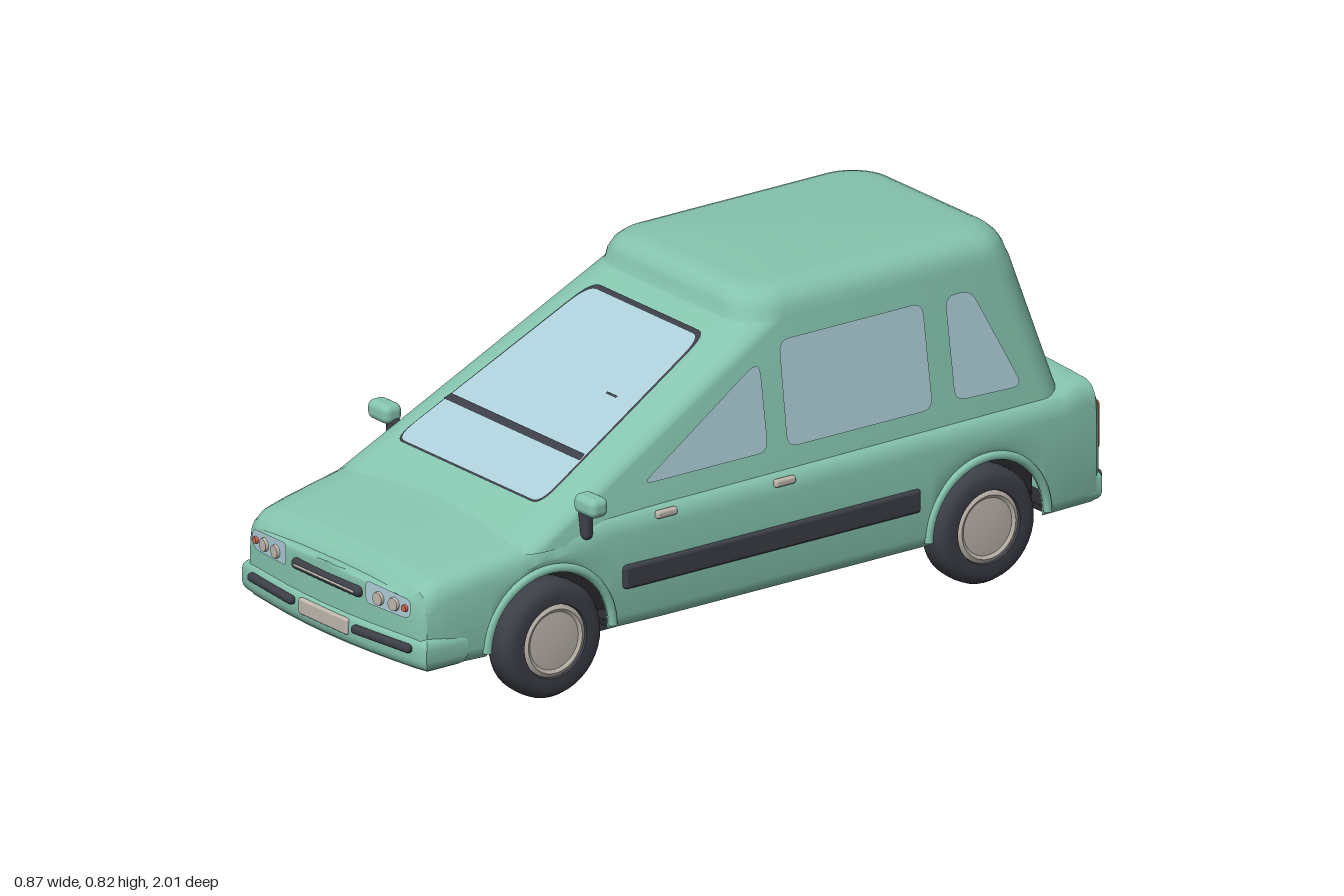
import * as THREE from 'three';
import { toCreasedNormals } from 'three/addons/utils/BufferGeometryUtils.js';
import { RoundedBoxGeometry } from 'three/addons/geometries/RoundedBoxGeometry.js';

const mat = (name, color, side = THREE.FrontSide) => {
  const m = new THREE.MeshStandardMaterial({ color, side });
  m.name = name;
  return m;
};

// Piecewise linear lookup in a list of [key, value]
function lookup(table, k) {
  if (k <= table[0][0]) return table[0][1];
  for (let i = 1; i < table.length; i++) {
    const [a, va] = table[i - 1], [b, vb] = table[i];
    if (k <= b) return va + (vb - va) * (k - a) / (b - a);
  }
  return table[table.length - 1][1];
}

// Skin through rows of equal length
function skin(rows, crease) {
  const n = rows[0].length, index = [];
  for (let i = 0; i < rows.length - 1; i++)
    for (let j = 0; j < n - 1; j++) {
      const a = i * n + j, b = a + n;
      index.push(a, a + 1, b, a + 1, b + 1, b);
    }
  const g = new THREE.BufferGeometry();
  g.setAttribute('position', new THREE.Float32BufferAttribute(rows.flat(2), 3));
  g.setIndex(index);
  return toCreasedNormals(g, crease);
}

// Polygon with rounded corners, laid on a surface by map(a, b) -> [x, y, z]
function panel(points, r, map) {
  const pts = points.map(p => new THREE.Vector2(...p)), shape = new THREE.Shape();
  pts.forEach((p, i) => {
    const prev = pts.at(i - 1), next = pts[(i + 1) % pts.length];
    const toward = q => p.clone().add(q.clone().sub(p).setLength(Math.min(r, p.distanceTo(q) * 0.45)));
    const a = toward(prev), b = toward(next);
    i ? shape.lineTo(a.x, a.y) : shape.moveTo(a.x, a.y);
    shape.quadraticCurveTo(p.x, p.y, b.x, b.y);
  });
  const g = new THREE.ShapeGeometry(shape, 6), pos = g.attributes.position;
  for (let i = 0; i < pos.count; i++) pos.setXYZ(i, ...map(pos.getX(i), pos.getY(i)));
  g.computeVertexNormals();
  return g;
}

// Bowed bar across the car, rounded on all edges
function bowedBar(s, zEnd, bow, hx, y0, y1, depth, r) {
  const shape = new THREE.Shape();
  for (let i = -8; i <= 8; i++) {
    const x = hx * i / 8, z = s * (zEnd - bow * x * x);
    i === -8 ? shape.moveTo(x, -z) : shape.lineTo(x, -z);
  }
  shape.lineTo(hx, -s * (zEnd - depth));
  shape.lineTo(-hx, -s * (zEnd - depth));
  const g = new THREE.ExtrudeGeometry(shape, { depth: y1 - y0 - 2 * r, bevelThickness: r, bevelSize: r, bevelOffset: -r, bevelSegments: 4 });
  g.rotateX(-Math.PI / 2).translate(0, y0 + r, 0);
  return toCreasedNormals(g, 0.7);
}

const WHEEL_Z = [0.618, -0.634], AXLE_Y = 0.143, ARCH_R = 0.165;
const TOP = [[-0.965, 0.405], [-0.95, 0.428], [-0.9, 0.433], [-0.86, 0.42], [0.45, 0.412], [0.6, 0.395], [0.7, 0.375],
  [0.85, 0.352], [0.92, 0.338], [0.95, 0.32], [0.96, 0.3]];
const WIDTH = [[-0.965, 0.368], [-0.95, 0.38], [-0.8, 0.386], [0.3, 0.386], [0.5, 0.378], [0.7, 0.364], [0.9, 0.345],
  [0.95, 0.336], [0.96, 0.325]];
const halfWidth = z => lookup(WIDTH, z);

// Slopes of the cabin faces by height
const sideX = y => 0.362 - (y - 0.4) * 0.16;
const frontZ = y => 0.57 - (y - 0.44) / 0.54;
const backZ = y => -0.905 + (y - 0.36) * 0.273;

function sill(z) {
  let b = 0.13;
  for (const c of WHEEL_Z) {
    const d = ARCH_R ** 2 - (z - c) ** 2;
    if (d >= 0) b = AXLE_Y + Math.sqrt(d);
  }
  return b;
}

function lowerBody() {
  const zs = [...TOP, ...WIDTH].map(p => p[0]);
  for (const c of WHEEL_Z) {
    for (let i = 0; i <= 24; i++) zs.push(c + 0.99999 * ARCH_R * Math.cos(Math.PI * i / 24));
    zs.push(c - ARCH_R - 0.001, c + ARCH_R + 0.001);
  }
  const stations = [...new Set(zs)].sort((a, b) => a - b);
  const section = (z, f = 1, zOut = z) => {
    const b = sill(z), t = lookup(TOP, z), w = halfWidth(z);
    const half = [[0.96, b], [0.99, b + 0.012], [1, b + 0.03], [1, (b + 0.03 + t - 0.055) / 2], [0.998, t - 0.055],
      [0.985, t - 0.033], [0.955, t - 0.014], [0.9, t - 0.004], [0.75, t], [0.4, t + 0.006], [0, t + 0.008]];
    const left = half.map(([k, y]) => [k * w * f, y, zOut]);
    return [...left, ...left.slice(0, -1).reverse().map(([x, y, q]) => [-x, y, q])];
  };
  const rows = stations.map(z => section(z));
  rows.unshift(section(-0.965, 0));
  for (const f of [0.75, 0.5, 0.25, 0]) rows.push(section(0.96, f, 0.985 - 0.25 * (f * 0.325) ** 2));
  return skin(rows, 0.6);
}

function cabin() {
  const ring = (y, zf, zb, hx, r, f = 1) => {
    const out = [], mid = (zf + zb) / 2;
    [[1, zf, 0], [-1, zf, 1], [-1, zb, 2], [1, zb, 3]].forEach(([sx, z, q]) => {
      for (let i = 0; i <= 8; i++) {
        const a = (q + i / 8) * Math.PI / 2;
        const px = sx * (hx - r) + r * Math.cos(a), pz = z - Math.sign(z - mid) * r + r * Math.sin(a);
        out.push([px * f, y, mid + (pz - mid) * f]);
      }
    });
    return [...out, out[0]];
  };
  const rows = [0.36, 0.44, 0.6, 0.7, 0.745].map(y => ring(y, frontZ(y), backZ(y), sideX(y), 0.08 + (y - 0.36) * 0.04));
  // Raised roof
  rows.push(ring(0.752, 0, -0.797, 0.306, 0.1), ring(0.775, -0.003, -0.79, 0.301, 0.1), ring(0.795, -0.012, -0.78, 0.291, 0.1),
    ring(0.81, -0.027, -0.765, 0.274, 0.095), ring(0.819, -0.048, -0.745, 0.25, 0.09),
    ring(0.822, -0.075, -0.72, 0.225, 0.085), ring(0.824, -0.075, -0.72, 0.225, 0.085, 0));
  return skin(rows, 0.6);
}

export function createModel() {
  const car = new THREE.Group();
  car.name = 'car';
  const paint = mat('green paint', 0x85c4ae, THREE.DoubleSide);
  const dark = mat('dark rubber', 0x3d3f48, THREE.DoubleSide);
  const glass = mat('pale glass', 0xaccdd8, THREE.DoubleSide);
  const beige = mat('beige metal', 0xc0b8ae);
  const red = mat('red lamp', 0xd0654f);
  const purple = mat('purple lamp', 0x9384bb);
  const floor = mat('black floor', 0x2a2b30);

  const add = (name, geometry, material, x = 0, y = 0, z = 0, ry = 0) => {
    const m = new THREE.Mesh(geometry, material);
    m.name = name;
    m.position.set(x, y, z);
    m.rotation.y = ry;
    car.add(m);
    return m;
  };
  const block = (w, h, d, r = Math.min(w, h, d) * 0.45) => new RoundedBoxGeometry(w, h, d, 3, r);

  add('lowerBody', lowerBody(), paint);
  add('cabin', cabin(), paint);

  // Underside
  add('wheelWells', new THREE.BoxGeometry(0.56, 0.17, 1.62), floor, 0, 0.215, -0.03);
  add('floorPan', new THREE.BoxGeometry(0.71, 0.015, 0.9), floor, 0, 0.135, -0.01);
  add('rearFloor', new THREE.BoxGeometry(0.71, 0.015, 0.14), floor, 0, 0.14, -0.88);
  add('frontFloor', new THREE.BoxGeometry(0.65, 0.015, 0.15), paint, 0, 0.138, 0.865);
  add('chassis', new THREE.BoxGeometry(0.56, 0.05, 1.3), dark, 0, 0.115, 0);

  // Bumpers
  add('frontBumper', bowedBar(1, 0.994, 0.25, 0.352, 0.125, 0.21, 0.15, 0.028), paint);
  add('rearBumper', bowedBar(-1, 0.988, 0.15, 0.38, 0.13, 0.212, 0.12, 0.025), paint);
  add('rearBumperStrip', bowedBar(-1, 1, 0.15, 0.36, 0.172, 0.202, 0.05, 0.01), dark);

  // Front and rear glass
  const onScreen = lift => (x, y) => [x, y + lift, frontZ(y) + lift * 0.5];
  add('windscreen', panel([[-0.278, 0.435], [0.278, 0.435], [0.217, 0.72], [-0.217, 0.72]], 0.03, onScreen(0.002)), dark);
  add('windscreenGlass', panel([[-0.274, 0.437], [0.274, 0.437], [0.213, 0.713], [-0.213, 0.713]], 0.03, onScreen(0.004)), glass);
  add('windscreenBar', panel([[-0.26, 0.506], [0.26, 0.506], [0.255, 0.516], [-0.255, 0.516]], 0.003, onScreen(0.006)), dark);
  add('windscreenMark', panel([[0.135, 0.597], [0.175, 0.597], [0.175, 0.6], [0.135, 0.6]], 0.001, onScreen(0.006)), dark);
  const onBack = lift => (x, y) => [x, y, backZ(y) - lift];
  add('rearWindowTrim', panel([[-0.244, 0.456], [0.244, 0.456], [0.199, 0.699], [-0.199, 0.699]], 0.03, onBack(0.003)), dark);
  add('rearWindow', panel([[-0.24, 0.46], [0.24, 0.46], [0.195, 0.695], [-0.195, 0.695]], 0.03, onBack(0.005)), glass);

  // Nose and tail details on the centre line
  add('grille', block(0.26, 0.027, 0.03), dark, 0, 0.268, 0.98);
  add('grilleBar', block(0.23, 0.006, 0.01), beige, 0, 0.268, 0.992);
  add('frontPlate', block(0.185, 0.04, 0.014), beige, 0, 0.175, 0.992);
  add('tailTrim', block(0.29, 0.012, 0.02), beige, 0, 0.345, -0.967);
  add('rearPlate', block(0.19, 0.042, 0.014), beige, 0, 0.288, -0.966);

  const sideWindows = {
    frontSideWindow: [[0.345, 0.457], [-0.02, 0.457], [-0.02, 0.66], [0.005, 0.66]],
    middleSideWindow: [[-0.075, 0.455], [-0.495, 0.455], [-0.495, 0.705], [-0.08, 0.705]],
    rearSideWindow: [[-0.56, 0.46], [-0.755, 0.455], [-0.635, 0.705], [-0.56, 0.705]],
  };
  // Tyre and hub turned about the axle
  const turned = pts => new THREE.LatheGeometry(pts.map(p => new THREE.Vector2(...p)), 40);
  const tyre = toCreasedNormals(turned([[0.08, -0.046], [0.115, -0.046], [0.132, -0.04], [0.141, -0.026], [0.143, 0],
    [0.141, 0.026], [0.132, 0.04], [0.115, 0.046], [0.09, 0.044], [0.086, 0.03]]), 0.8);
  const hub = toCreasedNormals(turned([[0, -0.04], [0.088, -0.04], [0.088, 0.038], [0.078, 0.043], [0.07, 0.038], [0, 0.044]]), 0.4);

  for (const s of [1, -1]) {
    const label = s > 0 ? 'left' : 'right';
    const part = (name, g, m, x, y, z, ry = 0) => add(label + name, g, m, s * x, y, z, s * ry);

    for (const [name, pts] of Object.entries(sideWindows))
      part(name, panel(pts, 0.03, (z, y) => [s * (sideX(y) + 0.004), y, z]), glass, 0, 0, 0);

    WHEEL_Z.forEach((z, i) => {
      const end = i ? 'Rear' : 'Front';
      for (const [name, g, m] of [['Tyre', tyre, dark], ['Hub', hub, beige]])
        part(end + name, g, m, 0.344, AXLE_Y, z).rotation.z = -s * Math.PI / 2;
      // Arch lip follows the body side
      const lip = new THREE.TorusGeometry(0.172, 0.011, 8, 32, Math.PI).rotateY(Math.PI / 2).translate(0, AXLE_Y, z);
      const pos = lip.attributes.position;
      for (let k = 0; k < pos.count; k++) pos.setX(k, pos.getX(k) + s * (halfWidth(pos.getZ(k)) - 0.002));
      lip.computeVertexNormals();
      part(end + 'ArchLip', lip, paint, 0, 0, 0);
    });

    part('SideStrip', block(0.02, 0.058, 0.855), dark, 0.385, 0.254, -0.008);
    for (const z of [0.295, -0.047]) part('DoorHandle', block(0.016, 0.02, 0.06), beige, 0.383, 0.386, z);

    // Door mirror
    part('MirrorArm', block(0.035, 0.085, 0.028), dark, 0.366, 0.408, 0.515);
    part('Mirror', block(0.08, 0.048, 0.052, 0.018), paint, 0.393, 0.458, 0.52);

    // Headlamp cluster
    const turn = 0.112;
    part('Headlamp', panel([[-0.075, -0.025], [0.06, -0.028], [0.077, -0.015], [0.075, 0.02], [-0.075, 0.031]], 0.015,
      (x, y) => [s * x, y, 0]), glass, 0.226, 0.277, 0.979, turn);
    for (const [name, x, r, m] of [['InnerLamp', 0.196, 0.017, beige], ['OuterLamp', 0.247, 0.017, beige], ['MarkerLamp', 0.284, 0.009, red]])
      part(name, new THREE.CylinderGeometry(r * 0.9, r, 0.008, 20).rotateX(Math.PI / 2), m, x, 0.274, 0.982 - (x - 0.226) * 0.112, turn);
    part('BumperStrip', block(0.195, 0.021, 0.022), dark, 0.21, 0.179, 0.985, turn);

    // Rear lamps
    part('TailLamp', block(0.05, 0.12, 0.024, 0.008), red, 0.337, 0.312, -0.964);
    part('RearWindowLamp', block(0.1, 0.034, 0.03), purple, 0.14, 0.682, backZ(0.682) - 0.008);
  }
  return car;
}
